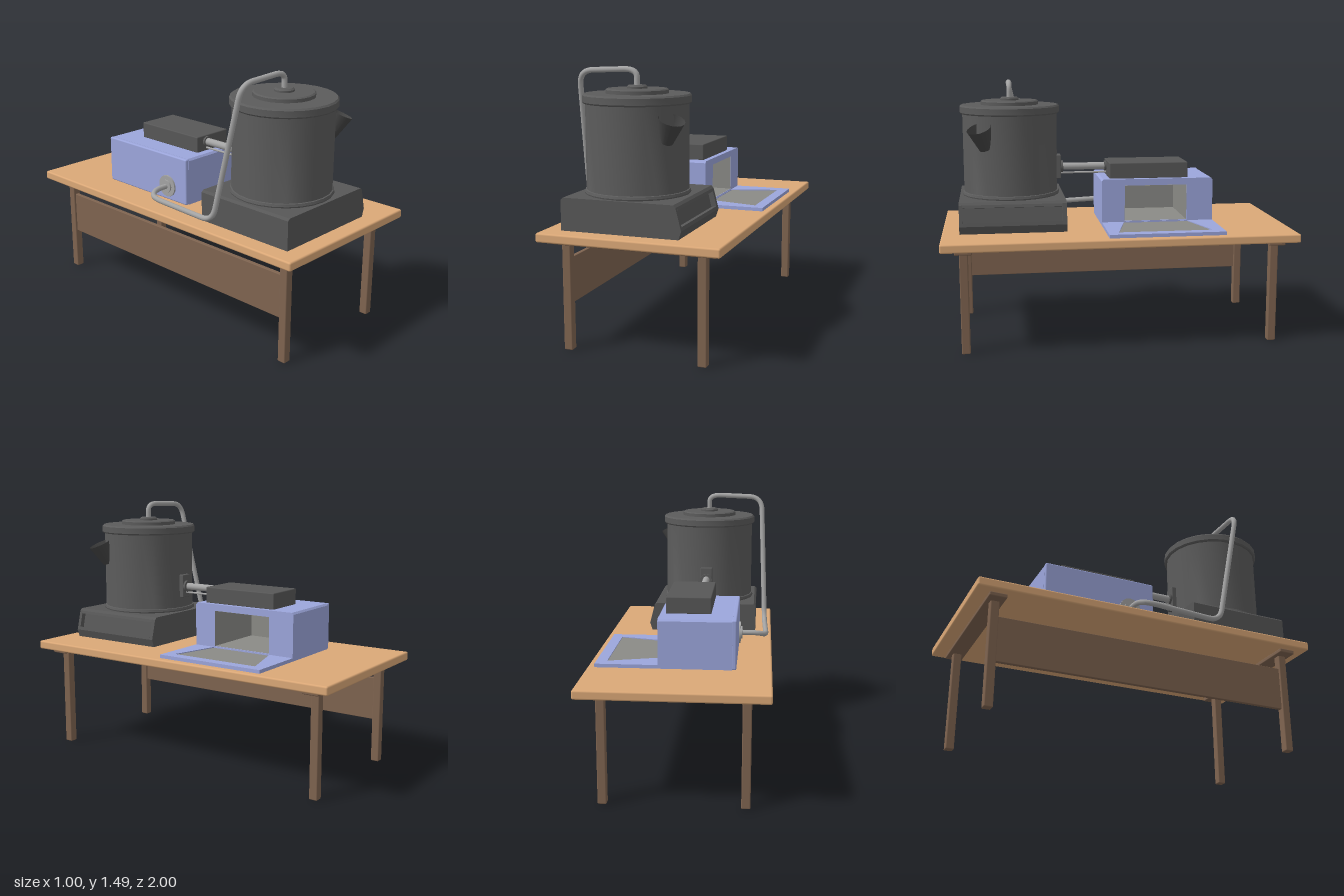
import * as THREE from 'three';
import { RoundedBoxGeometry } from 'three/addons/geometries/RoundedBoxGeometry.js';
import { toCreasedNormals } from 'three/addons/utils/BufferGeometryUtils.js';

const mat = (color, side = THREE.FrontSide) => new THREE.MeshStandardMaterial({ color, side });
const WOOD = mat(0xdba877), LEG = mat(0x7f6450), IRON = mat(0x5c5c5c), BASE = mat(0x575757);
const BLUE = mat(0x9ca6dc), STEEL = mat(0xa4a4a4), INNER = mat(0x8a8a86, THREE.DoubleSide);
const DARK = mat(0x444444, THREE.DoubleSide);
const V = (x, y, z) => new THREE.Vector3(x, y, z);

function add(parent, name, geometry, material, x = 0, y = 0, z = 0) {
  const mesh = new THREE.Mesh(geometry, material);
  mesh.name = name;
  mesh.position.set(x, y, z);
  parent.add(mesh);
  return mesh;
}

// Box given by its limits on each axis
function block(parent, name, material, [x0, x1], [y0, y1], [z0, z1], r = 0.006) {
  const g = new RoundedBoxGeometry(x1 - x0, y1 - y0, z1 - z0, 2, r);
  return add(parent, name, g, material, (x0 + x1) / 2, (y0 + y1) / 2, (z0 + z1) / 2);
}

const shapeOf = (pts) => new THREE.Shape(pts.map(([x, y]) => new THREE.Vector2(x, y)));

// Straight round rod or cone between two points
function rod(parent, name, material, a, b, r0, r1 = r0, open = false) {
  const g = new THREE.CylinderGeometry(r1, r0, a.distanceTo(b), 16, 1, open);
  const m = add(parent, name, g, material);
  m.position.copy(a).lerp(b, 0.5);
  m.quaternion.setFromUnitVectors(V(0, 1, 0), b.clone().sub(a).normalize());
  return m;
}

// Path of straight runs with rounded corners
function roundedPath(pts, r) {
  const path = new THREE.CurvePath();
  let last = pts[0];
  for (let i = 1; i < pts.length - 1; i++) {
    const p = pts[i];
    const toward = (q) => p.clone().add(q.clone().sub(p).setLength(Math.min(r, p.distanceTo(q) * 0.45)));
    const a = toward(pts[i - 1]), b = toward(pts[i + 1]);
    path.add(new THREE.LineCurve3(last, a));
    path.add(new THREE.QuadraticBezierCurve3(a, p, b));
    last = b;
  }
  path.add(new THREE.LineCurve3(last, pts[pts.length - 1]));
  return path;
}

function makeTable() {
  const g = new THREE.Group();
  g.name = 'table';
  block(g, 'tableTop', WOOD, [-0.5, 0.5], [0.6, 0.65], [-1, 1], 0.01);
  for (const s of [-1, 1]) {
    block(g, 'crossRail', LEG, [-0.455, 0.455], [0.578, 0.602], [s * 0.877 - 0.048, s * 0.877 + 0.048]);
    for (const t of [-1, 1])
      block(g, 'leg', LEG, [t * 0.375 - 0.024, t * 0.375 + 0.024], [0, 0.59], [s * 0.877 - 0.024, s * 0.877 + 0.024]);
  }
  block(g, 'backPanel', LEG, [-0.387, -0.363], [0.25, 0.5], [-0.865, 0.865], 0.003);
  return g;
}

function makeBoiler() {
  const g = new THREE.Group();
  g.name = 'boiler';

  // Plinth: full profile at both ends, recessed slanted front between them
  const bottom = [[-0.4, 0.65], [0.25, 0.65], [0.265, 0.695]];
  const recess = [[0.261, 0.714], [0.231, 0.707], [0.211, 0.79], [0.241, 0.797]];
  const top = [[0.235, 0.812], [0.222, 0.825], [-0.388, 0.825], [-0.4, 0.813]];
  const slice = (pts, z0, z1) =>
    add(g, 'plinth', new THREE.ExtrudeGeometry(shapeOf(pts), { depth: z1 - z0, bevelEnabled: false }), BASE, 0, 0, z0);
  slice([...bottom, ...top], 0.295, 0.32);
  slice([...bottom, ...recess, ...top], 0.32, 0.88);
  slice([...bottom, ...top], 0.88, 0.9);

  // Vessel, rim and stepped lid in one turned profile
  const profile = [
    [0, 0.82], [0.282, 0.82], [0.286, 0.832], [0.282, 0.845], [0.275, 0.847], [0.275, 1.3],
    [0.284, 1.3], [0.29, 1.308], [0.29, 1.342], [0.282, 1.351], [0.168, 1.351],
    [0.168, 1.37], [0.16, 1.376], [0.055, 1.376], [0.055, 1.386], [0.045, 1.394], [0, 1.394],
  ].map(([r, y]) => new THREE.Vector2(r, y));
  add(g, 'vessel', toCreasedNormals(new THREE.LatheGeometry(profile, 24), 0.6), IRON, -0.09, 0, 0.6);

  // Flared spout with an open mouth
  const a = V(0.13, 1.115, 0.745), b = V(0.172, 1.235, 0.778);
  rod(g, 'spout', DARK, a, b, 0.034, 0.07, true);
  rod(g, 'spoutBottom', DARK, a, a.clone().lerp(b, 0.05), 0.034, 0.035);
  return g;
}

function makeFurnace() {
  const g = new THREE.Group();
  g.name = 'furnace';

  // Housing open toward +x; shape drawn in (-z, y) and turned to extrude along x
  const face = shapeOf([[-0.08, 0.65], [0.58, 0.65], [0.58, 0.912], [0.57, 0.923], [-0.07, 0.923], [-0.08, 0.912]]);
  face.holes.push(shapeOf([[0.055, 0.675], [0.055, 0.885], [0.425, 0.885], [0.425, 0.675]]));
  const shell = add(g, 'housing', new THREE.ExtrudeGeometry(face, { depth: 0.4, bevelEnabled: false }), BLUE, -0.285, 0, 0);
  shell.rotation.y = Math.PI / 2;
  block(g, 'housingBack', BLUE, [-0.308, -0.28], [0.65, 0.923], [-0.58, 0.08], 0.008);

  // Grey lining of the chamber
  const lining = new THREE.BoxGeometry(0.39, 0.208, 0.368);
  lining.setIndex(Array.from(lining.index.array).slice(6)); // leaves the +x side open
  add(g, 'lining', lining, INNER, -0.082, 0.78, -0.24);

  // Low frame lying in front of the opening, with a widening grey floor
  const hole = [[0.118, 0.05], [0.4, -0.02], [0.4, 0.515], [0.118, 0.43]];
  const frame = shapeOf([[0.115, -0.08], [0.46, -0.08], [0.46, 0.58], [0.115, 0.58]]);
  frame.holes.push(shapeOf(hole));
  const flat = (name, geometry, material, y) => {
    add(g, name, geometry, material, 0, y, 0).rotation.x = -Math.PI / 2;
  };
  flat('trayFrame', new THREE.ExtrudeGeometry(frame, { depth: 0.02, bevelEnabled: false }), BLUE, 0.65);
  flat('trayFloor', new THREE.ShapeGeometry(shapeOf(hole)), INNER, 0.665);

  block(g, 'topUnit', BASE, [-0.165, 0.085], [0.92, 1.015], [-0.435, 0.03]);
  return g;
}

function makePipes() {
  const g = new THREE.Group();
  g.name = 'pipes';

  // Pipe from lid to the side of the furnace
  const path = roundedPath([
    V(-0.09, 1.38, 0.6), V(-0.09, 1.478, 0.6), V(-0.425, 1.465, 0.6),
    V(-0.457, 0.695, 0.43), V(-0.467, 0.715, -0.03), V(-0.41, 0.735, -0.07), V(-0.3, 0.735, -0.07),
  ], 0.08);
  add(g, 'steamPipe', new THREE.TubeGeometry(path, 120, 0.0155, 10), STEEL);
  rod(g, 'sideFlange', STEEL, V(-0.3, 0.735, -0.07), V(-0.318, 0.735, -0.07), 0.064);
  rod(g, 'sideCollar', STEEL, V(-0.31, 0.735, -0.07), V(-0.327, 0.735, -0.07), 0.038);

  // Straight feed between furnace and vessel
  rod(g, 'feedPipe', STEEL, V(-0.09, 0.978, 0.02), V(-0.09, 0.978, 0.33), 0.021);
  rod(g, 'thinPipe', STEEL, V(-0.09, 0.94, 0.02), V(-0.09, 0.94, 0.33), 0.006);
  rod(g, 'feedCollar', IRON, V(-0.09, 0.978, 0.025), V(-0.09, 0.978, 0.042), 0.03);
  block(g, 'feedPlate', IRON, [-0.126, -0.054], [0.91, 1.05], [0.303, 0.335], 0.004);
  rod(g, 'plateCollar', IRON, V(-0.09, 0.978, 0.29), V(-0.09, 0.978, 0.31), 0.036);
  return g;
}

export function createModel() {
  const model = new THREE.Group();
  model.name = 'boilerTable';
  model.add(makeTable(), makeBoiler(), makeFurnace(), makePipes());
  return model;
}
